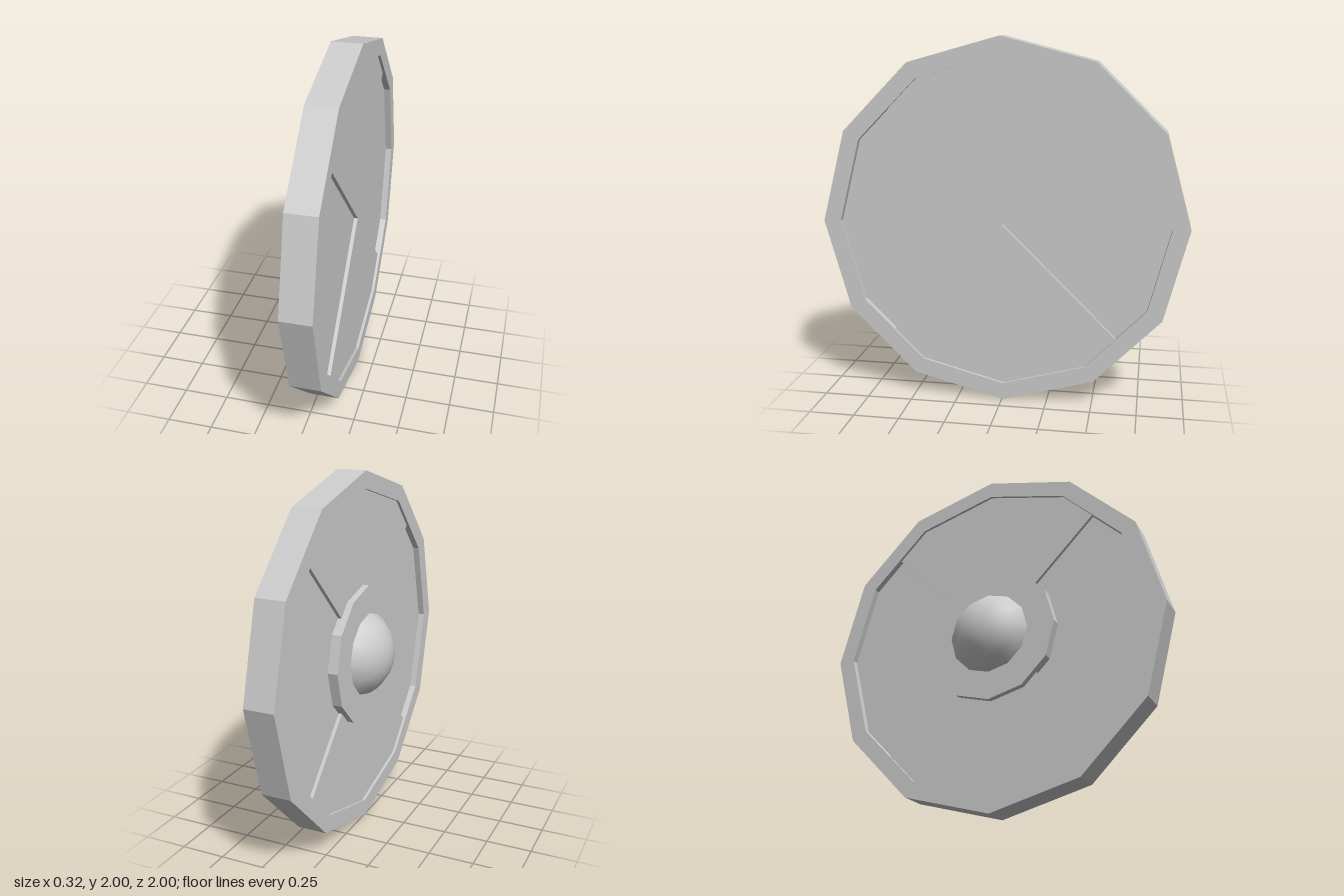
import * as THREE from 'three';

const SIDES = 12, RIM_R = 1, PANEL_R = 0.905;
const BACK = -0.005, FRONT = 0.16;

// Points of a regular polygon, or of its slice between two corner indices
function corners(radius, from = 0, to = SIDES - 1) {
  const pts = [];
  for (let i = from; i <= to; i++) {
    const a = (i / SIDES) * Math.PI * 2;
    pts.push(new THREE.Vector2(Math.cos(a) * radius, Math.sin(a) * radius));
  }
  return pts;
}

export function createModel() {
  const model = new THREE.Group();
  model.name = 'roundShield';
  const shield = new THREE.Group();
  shield.name = 'shield';
  model.add(shield);
  const material = new THREE.MeshStandardMaterial({ color: 0xcccccc });

  const add = (name, geometry) => {
    const mesh = new THREE.Mesh(geometry, material);
    mesh.name = name;
    shield.add(mesh);
    return mesh;
  };
  // Flat plate between two depths
  const plate = (name, shape, z0, z1) => {
    const geometry = new THREE.ExtrudeGeometry(shape, { depth: z1 - z0, bevelEnabled: false });
    return add(name, geometry.translate(0, 0, z0));
  };

  // Outer rim
  const rimShape = new THREE.Shape(corners(RIM_R));
  rimShape.holes.push(new THREE.Path(corners(PANEL_R)));
  plate('rim', rimShape, BACK, FRONT);

  // Four quarter panels, alternately shallow and deep in the rim
  const mid = PANEL_R * Math.cos(Math.PI / SIDES);
  ['sidePanelRear', 'topPanel', 'sidePanelFront', 'bottomPanel'].forEach((name, q) => {
    const edge = (a) => new THREE.Vector2(Math.cos(a) * mid, Math.sin(a) * mid);
    const centre = (q * Math.PI) / 2;
    const shape = new THREE.Shape([
      new THREE.Vector2(0, 0),
      edge(centre - Math.PI / 4),
      ...corners(PANEL_R, q * 3 - 1, q * 3 + 1),
      edge(centre + Math.PI / 4),
    ]);
    const inset = q % 2 ? 0.016 : 0.036;
    plate(name, shape, BACK + inset, FRONT - inset);
  });

  // Boss plate and dome
  plate('bossPlate', new THREE.Shape(corners(0.39)), -0.025, 0.05);
  const R = 0.267;
  const cap = new THREE.SphereGeometry(R, SIDES, 8, 0, Math.PI * 2, 0, Math.acos((R - 0.137) / R));
  const dome = add('bossDome', cap);
  dome.rotation.x = -Math.PI / 2;
  dome.position.z = -0.16 + R;

  // Stand upright with the boss towards -x and a slight roll
  shield.rotation.z = THREE.MathUtils.degToRad(0.5);
  model.rotation.y = Math.PI / 2;
  model.position.y = 1;
  const root = new THREE.Group();
  root.name = 'model';
  root.add(model);
  return root;
}
